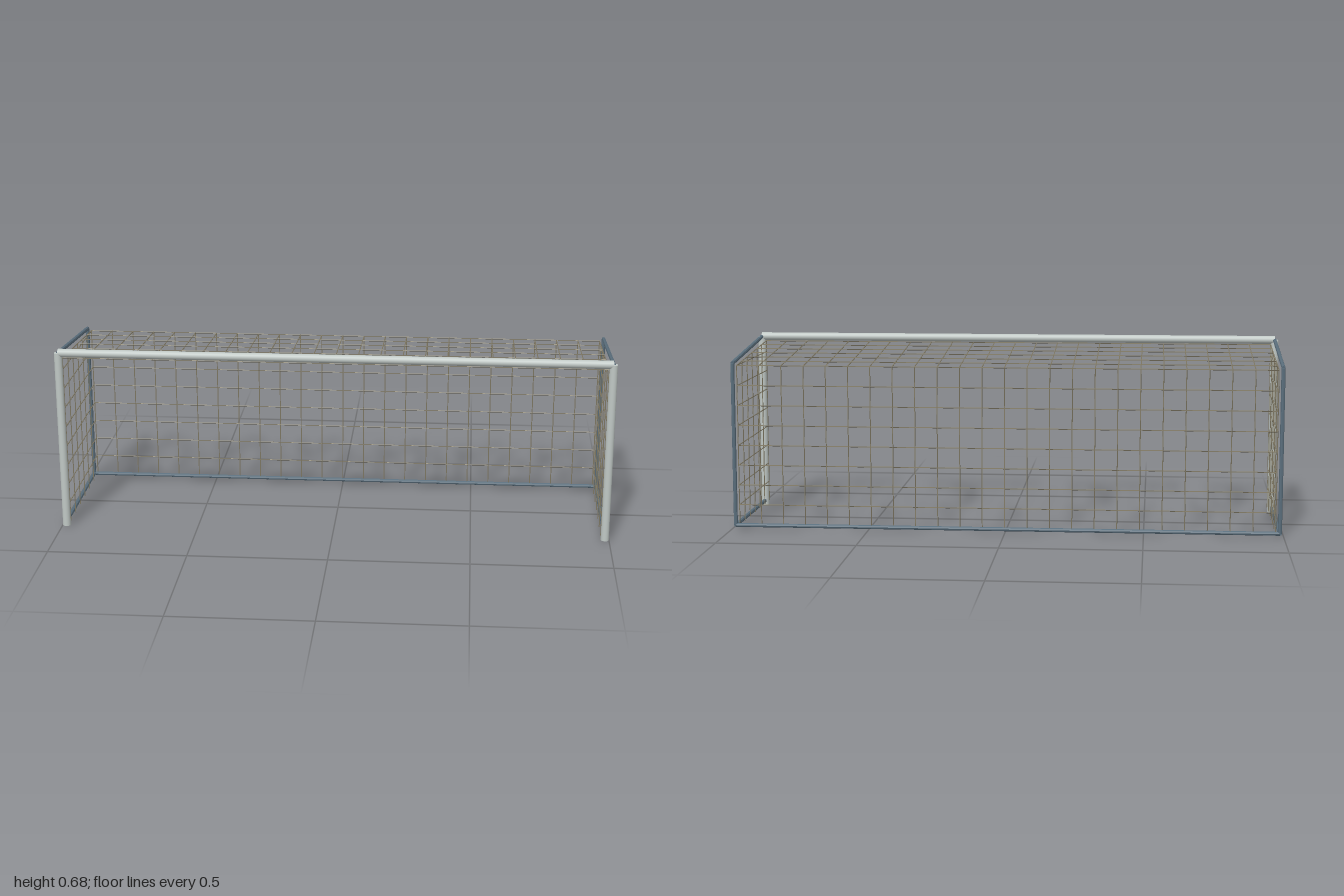
import * as THREE from 'three';

const paint = (color, flatShading = false) => new THREE.MeshStandardMaterial({ color, flatShading });

export function createModel() {
  const model = new THREE.Group();
  model.name = 'goal';
  const postMat = paint(0xc0c8c5);
  const frameMat = paint(0x5a6e7c, true);
  const netMat = paint(0x827b66, true);

  // Round bar between two points
  function bar(parent, name, a, b, radius, sides, mat) {
    const from = new THREE.Vector3(...a), to = new THREE.Vector3(...b);
    const dir = to.clone().sub(from);
    const mesh = new THREE.Mesh(new THREE.CylinderGeometry(radius, radius, dir.length(), sides), mat);
    mesh.name = name;
    mesh.position.copy(from).add(to).multiplyScalar(0.5);
    mesh.quaternion.setFromUnitVectors(new THREE.Vector3(0, 1, 0), dir.normalize());
    parent.add(mesh);
  }
  function group(name) {
    const g = new THREE.Group();
    g.name = name;
    model.add(g);
    return g;
  }

  const X = 0.985, FRONT = 0.245, BACK = -0.2525;
  const TOP = 0.662, BASE = 0.016, R = 0.015, r = 0.0073;

  // Front posts and crossbar
  const mouth = group('goalMouth');
  bar(mouth, 'crossbar', [-X, TOP, FRONT], [X, TOP, FRONT], R, 20, postMat);
  for (const s of [-1, 1]) {
    bar(mouth, s > 0 ? 'leftPost' : 'rightPost', [s * X, 0, FRONT], [s * X, TOP, FRONT], R, 20, postMat);
  }

  // Dark support frame
  const frame = group('supportFrame');
  bar(frame, 'backGroundBar', [-X, BASE, BACK], [X, BASE, BACK], r, 8, frameMat);
  for (const s of [-1, 1]) {
    const side = s > 0 ? 'left' : 'right';
    bar(frame, side + 'GroundBar', [s * X, BASE, FRONT], [s * X, BASE, BACK], r, 8, frameMat);
    bar(frame, side + 'BackPost', [s * X, BASE, BACK], [s * X, 0.61, BACK], r, 8, frameMat);
    bar(frame, side + 'TopBar', [s * X, TOP, FRONT], [s * X, 0.61, BACK], r, 8, frameMat);
  }

  // Net: hangs just inside the posts, its roof falling to the back edge
  const NET_X = 0.97, STRING = 0.0019, COLS = 24, DEPTH = 6, ROWS = 8;
  const depthAt = i => FRONT + (BACK - FRONT) * i / DEPTH;
  const rowAt = i => 0.0186 + 0.0729 * i;
  const ROOF_BACK = rowAt(ROWS);
  const roofY = z => THREE.MathUtils.mapLinear(z, FRONT, BACK, 0.644, ROOF_BACK);
  const net = group('net');
  const string = (name, a, b) => bar(net, name, a, b, STRING, 5, netMat);

  // Strings running front to back over the roof and down the back
  for (let i = 0; i <= COLS; i++) {
    const x = NET_X * (2 * i / COLS - 1);
    string('roofString', [x, roofY(FRONT), FRONT], [x, ROOF_BACK, BACK]);
    string('backUpright', [x, BASE, BACK], [x, ROOF_BACK, BACK]);
  }
  // Roof strings across the width and side uprights below them
  for (let i = 0; i < DEPTH; i++) {
    const z = depthAt(i), y = roofY(z);
    string('roofCrossString', [-NET_X, y, z], [NET_X, y, z]);
    for (const s of [-1, 1]) string('sideUpright', [s * NET_X, BASE, z], [s * NET_X, y, z]);
  }
  // Level strings round the back and sides
  for (let i = 1; i <= ROWS; i++) {
    const y = rowAt(i);
    string('backRow', [-NET_X, y, BACK], [NET_X, y, BACK]);
    for (const s of [-1, 1]) string('sideRow', [s * NET_X, y, FRONT], [s * NET_X, y, BACK]);
  }
  return model;
}
